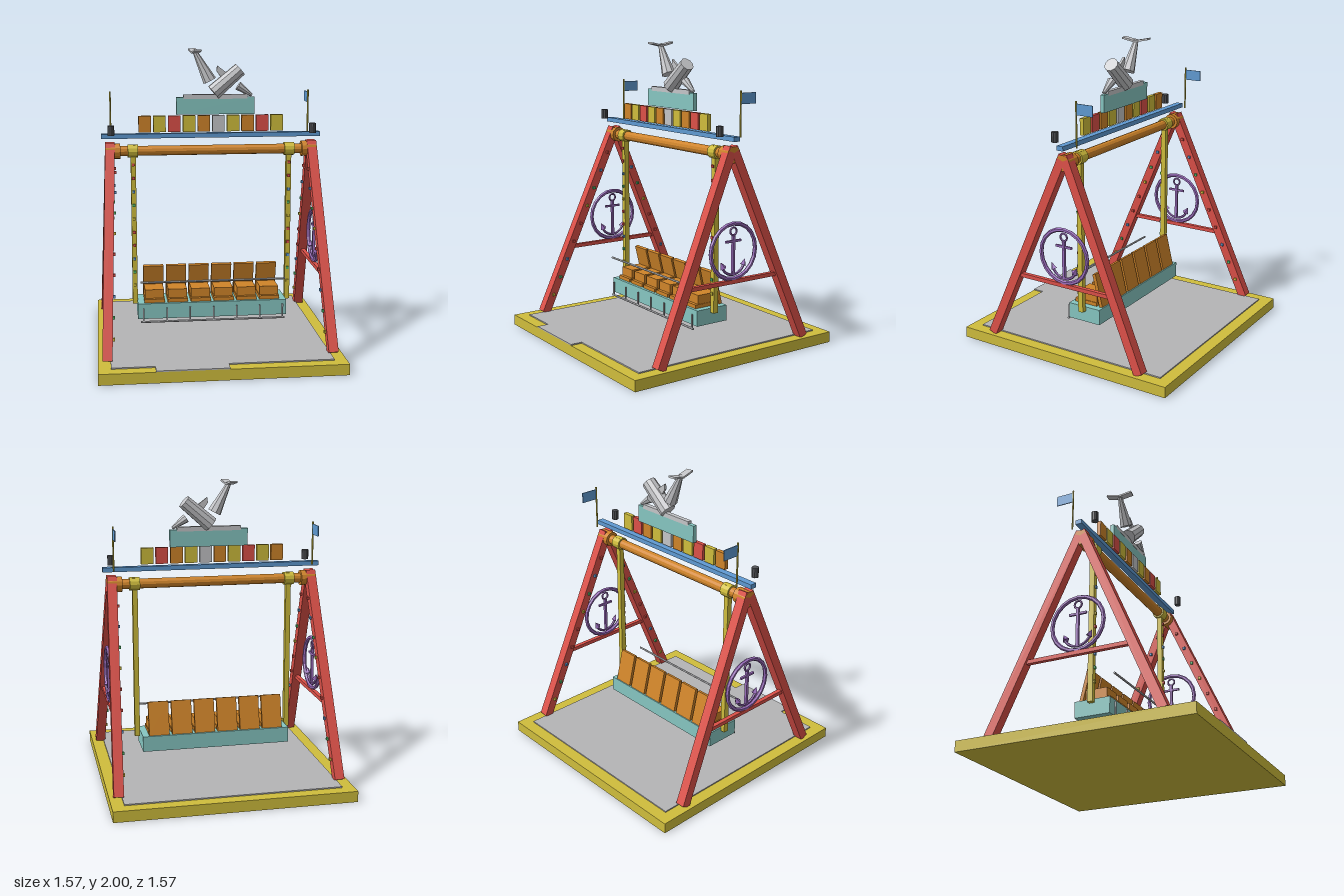
import * as THREE from 'three';

const mat = (name, color) => {
  const m = new THREE.MeshStandardMaterial({ color });
  m.name = name;
  return m;
};

export function createModel() {
  const root = new THREE.Group();
  root.name = 'swingRide';
  const M = {
    yellow: mat('yellow', 0xcfbd3c), floor: mat('floorGrey', 0xb4b4b6), red: mat('red', 0xdc5048),
    orange: mat('orange', 0xcf8429), blue: mat('blue', 0x5f9ad2), teal: mat('teal', 0x86c6c1),
    purple: mat('purple', 0x9a6cbc), dark: mat('darkGrey', 0x505256), silver: mat('silver', 0xc4c5c8),
    green: mat('green', 0x4fb868),
  };

  // Faceted mesh helper
  const add = (name, geo, m, x = 0, y = 0, z = 0, parent = root) => {
    const g = geo.index ? geo.toNonIndexed() : geo;
    g.computeVertexNormals();
    const mesh = new THREE.Mesh(g, m);
    mesh.name = name;
    mesh.position.set(x, y, z);
    parent.add(mesh);
    return mesh;
  };
  const box = (name, m, w, h, d, x, y, z, parent) => add(name, new THREE.BoxGeometry(w, h, d), m, x, y, z, parent);
  const rod = (name, m, r, len, x, y, z, n = 12) =>
    add(name, new THREE.CylinderGeometry(r, r, len, n).rotateZ(Math.PI / 2), m, x, y, z);

  // Places a geometry, built along y, between two points
  const between = (name, m, a, b, make) => {
    const A = new THREE.Vector3(...a), B = new THREE.Vector3(...b);
    const dir = B.clone().sub(A), len = dir.length();
    dir.normalize();
    const side = new THREE.Vector3(1, 0, 0).addScaledVector(dir, -dir.x);
    if (side.lengthSq() < 1e-6) side.set(0, 0, 1);
    side.normalize();
    const mesh = add(name, make(len), m);
    mesh.quaternion.setFromRotationMatrix(
      new THREE.Matrix4().makeBasis(side, dir, new THREE.Vector3().crossVectors(side, dir)));
    mesh.position.copy(A.add(B).multiplyScalar(0.5));
    return mesh;
  };

  // Platform and raised floor, with an entry strip at the front
  box('platform', M.yellow, 1.57, 0.072, 1.57, 0, 0.036, 0);
  box('floor', M.floor, 1.41, 0.008, 1.41, 0, 0.076, 0);
  box('entryFloor', M.floor, 0.46, 0.008, 0.08, -0.2, 0.076, 0.745);

  // A-frames, wheels and hubs
  const bulbs = [M.red, M.blue, M.green, M.yellow, M.red];
  for (const s of [1, -1]) {
    for (const f of [1, -1]) {
      between('frameLeg', M.red, [s * 0.725, 0.075, f * 0.574], [s * 0.677, 1.375, f * 0.002],
        (l) => new THREE.BoxGeometry(0.064, l, 0.06));
      for (let i = 0; i < 9; i++) {
        const y = 1.2 - i * 0.125, t = (y - 0.075) / 1.3;
        box('legBulb', bulbs[i % 5], 0.016, 0.018, 0.018, s * (0.725 - 0.048 * t - 0.037), y, f * 0.574 * (1 - t));
      }
    }
    box('frameCrossbar', M.red, 0.028, 0.026, 0.7, s * 0.71, 0.53, 0);
    rod('hub', M.orange, 0.052, 0.1, s * 0.66, 1.33, 0);
    rod('swingCollar', M.yellow, 0.044, 0.068, s * 0.527, 1.33, 0);

    // Ring with anchor ornament
    const wheel = new THREE.Group();
    wheel.name = 'anchorWheel';
    wheel.position.set(s * 0.712, 0.725, 0);
    wheel.rotation.y = Math.PI / 2;
    root.add(wheel);
    add('wheelRing', new THREE.TorusGeometry(0.177, 0.014, 6, 20), M.purple, 0, 0, 0, wheel);
    box('anchorShaft', M.purple, 0.018, 0.25, 0.018, 0, -0.025, 0, wheel);
    box('anchorStock', M.purple, 0.12, 0.014, 0.014, 0, 0.065, 0, wheel);
    add('anchorEye', new THREE.TorusGeometry(0.025, 0.007, 6, 12), M.purple, 0, 0.128, 0, wheel);
    add('anchorArms', new THREE.TorusGeometry(0.095, 0.009, 6, 12, 2.4).rotateZ(-Math.PI / 2 - 1.2),
      M.purple, 0, -0.055, 0, wheel);
    for (const k of [1, -1]) {
      const tip = add('anchorFluke', new THREE.ConeGeometry(0.024, 0.045, 4), M.purple, k * 0.088, -0.078, 0, wheel);
      tip.rotation.z = -k * 0.45;
    }

    // Swing arm with bulbs
    box('swingArm', M.yellow, 0.034, 1.09, 0.036, s * 0.525, 0.825, 0);
    for (let i = 0; i < 10; i++)
      box('armBulb', bulbs[(i + 4) % 5], 0.018, 0.018, 0.014, s * 0.525, 1.24 - i * 0.0922, 0.021);

    // Flag and lamp
    add('flagPole', new THREE.CylinderGeometry(0.006, 0.006, 0.29, 6), M.yellow, s * 0.67, 1.575, -0.08);
    box('flag', M.blue, 0.006, 0.07, 0.115, s * 0.67, 1.67, -0.142);
    add('lamp', new THREE.CylinderGeometry(0.023, 0.023, 0.065, 10), M.dark, s * 0.67, 1.478, 0.083);
  }
  rod('topBeam', M.orange, 0.033, 1.28, 0, 1.33, 0);

  // Sign rail, coloured tiles and backing board
  box('signRail', M.blue, 1.47, 0.03, 0.046, 0, 1.43, 0);
  const { orange: O, yellow: Y, red: R, silver: S } = M;
  [O, Y, R, Y, O, S, Y, O, R, Y].forEach((m, i) =>
    box('signTile', m, 0.082, 0.108, 0.028, -0.447 + i * 0.0983, 1.51, 0.016));
  box('signBoard', M.teal, 0.525, 0.115, 0.028, 0.028, 1.625, -0.014);
  box('signBoardCap', M.silver, 0.43, 0.03, 0.03, 0.028, 1.685, -0.014);

  // Leaping sea animal on top: tail, flukes, body, fins and snout
  const taper = (r0, r1, n = 10) => (l) => new THREE.CylinderGeometry(r1, r0, l, n);
  between('animalBody', M.silver, [0.015, 1.712, -0.015], [0.194, 1.864, -0.018], taper(0.054, 0.047));
  between('animalTail', M.silver, [-0.01, 1.79, -0.015], [-0.11, 1.985, -0.018], taper(0.046, 0.015, 8));
  between('animalSnout', M.silver, [0.18, 1.755, -0.013], [0.272, 1.692, -0.012], taper(0.03, 0.011, 8));
  for (const k of [1, -1])
    between('tailFluke', M.silver, [-0.108, 1.975, -0.018], [-0.108 + k * 0.012, 1.994, -0.018 + k * 0.09],
      (l) => new THREE.BoxGeometry(0.05, l, 0.012));
  const fin = new THREE.Shape([[0.04, 1.89], [0.035, 1.855], [0.08, 1.79], [0.12, 1.83]]
    .map((p) => new THREE.Vector2(...p)));
  add('dorsalFin', new THREE.ExtrudeGeometry(fin, { depth: 0.016, bevelEnabled: false }), M.silver, 0, 0, -0.024);

  // Gondola with seats
  box('gondola', M.teal, 1.012, 0.105, 0.24, -0.005, 0.2525, 0);
  for (let i = 0; i < 6; i++) {
    const x = -0.397 + i * 0.157;
    box('seatBase', M.orange, 0.128, 0.085, 0.145, x, 0.347, 0.003);
    box('seatFront', M.orange, 0.137, 0.025, 0.17, x, 0.317, 0.015);
    between('seatBack', M.orange, [x, 0.305, -0.104], [x, 0.527, -0.05],
      (l) => new THREE.BoxGeometry(0.138, l, 0.024));
  }

  // Lap bar and front footrest
  rod('lapBar', M.silver, 0.007, 0.98, -0.003, 0.46, 0.14, 6);
  rod('footRail', M.silver, 0.007, 0.98, -0.003, 0.185, 0.14, 6);
  for (let i = 0; i < 7; i++)
    box('footRailPost', M.silver, 0.009, 0.095, 0.009, -0.475 + i * 0.158, 0.232, 0.14);

  return root;
}
